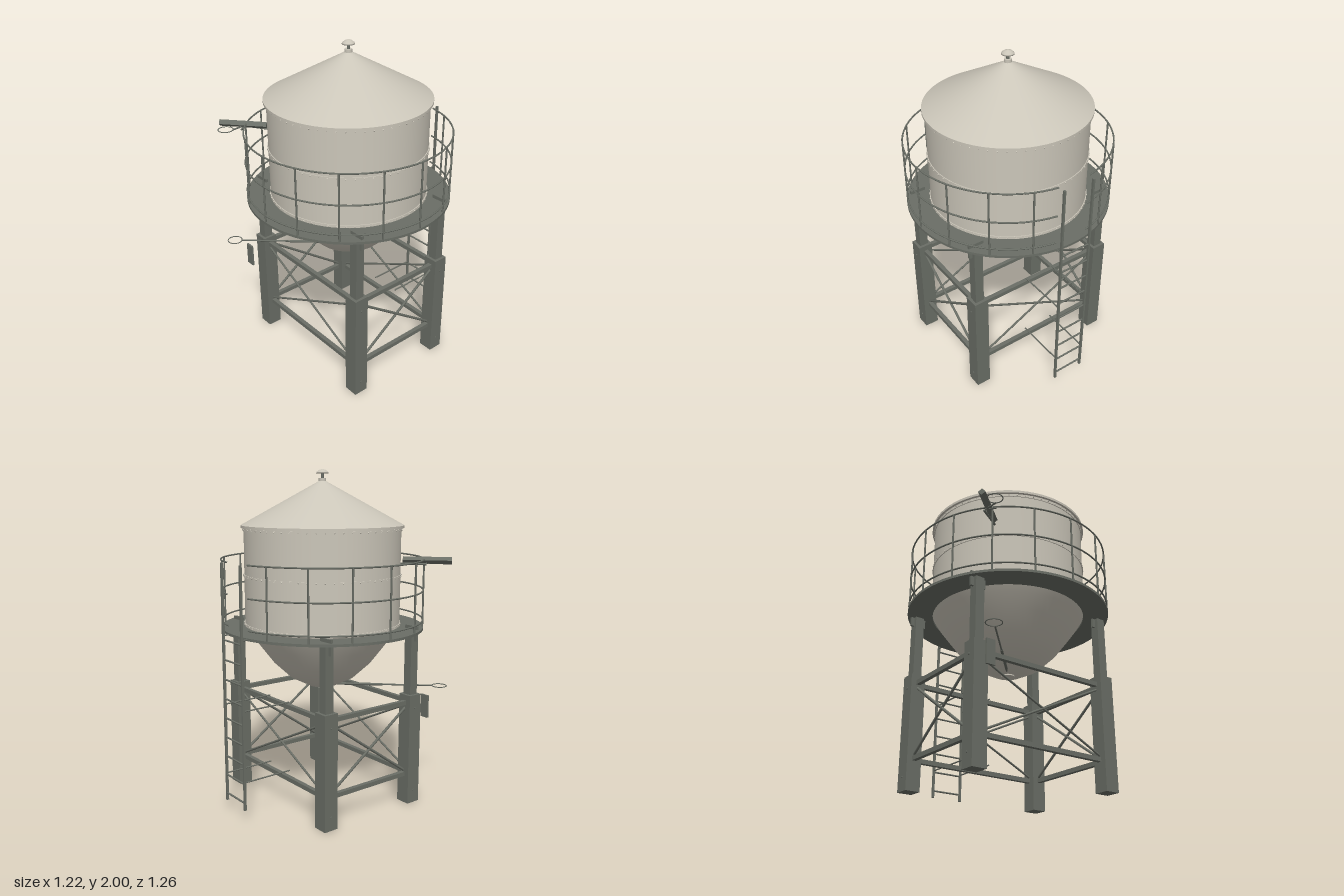
import * as THREE from 'three';
import { mergeGeometries } from 'three/addons/utils/BufferGeometryUtils.js';

const mat = (name, color) => {
  const m = new THREE.MeshStandardMaterial({ color });
  m.name = name;
  return m;
};

const V = (x, y, z) => new THREE.Vector3(x, y, z);

// Bar between two points: round (w = diameter) or square (w = side)
function bar(a, b, w, square = false) {
  const d = b.clone().sub(a);
  const len = d.length();
  const g = square ? new THREE.BoxGeometry(w, len, w) : new THREE.CylinderGeometry(w / 2, w / 2, len, 8);
  g.applyQuaternion(new THREE.Quaternion().setFromUnitVectors(V(0, 1, 0), d.normalize()));
  const c = a.clone().add(b).multiplyScalar(0.5);
  return g.translate(c.x, c.y, c.z);
}

const box = (w, h, d, x, y, z) => new THREE.BoxGeometry(w, h, d).translate(x, y, z);

const lathe = (pts, seg = 64) => new THREE.LatheGeometry(pts.map(p => new THREE.Vector2(p[0], p[1])), seg);

const flatRing = (r, tube, y) => new THREE.TorusGeometry(r, tube, 8, 32).rotateX(Math.PI / 2).translate(0, y, 0);

export function createModel() {
  const cream = mat('cream painted tank', 0xcbc6b9);
  const steel = mat('grey steel', 0x6a6e66);
  const model = new THREE.Group();
  model.name = 'waterTower';
  // Everything except the ladder is centred on the tank axis
  const tower = new THREE.Group();
  tower.name = 'tower';
  tower.position.z = 0.015;
  model.add(tower);
  const add = (name, geos, material, parent = tower) => {
    const list = [].concat(geos).map(g => (g.index ? g.toNonIndexed() : g));
    const m = new THREE.Mesh(list.length > 1 ? mergeGeometries(list) : list[0], material);
    m.name = name;
    parent.add(m);
  };

  // Tank shell
  add('tankWall', new THREE.CylinderGeometry(0.468, 0.468, 0.59, 64, 1, true).translate(0, 1.375, 0), cream);
  add('tankBowl', lathe([[0, 0.685], [0.085, 0.698], [0.2, 0.757], [0.3, 0.85], [0.38, 0.955], [0.435, 1.03], [0.468, 1.085]]), cream);
  add('roof', lathe([[0.485, 1.675], [0.02, 1.93]]), cream);
  add('eave', new THREE.CylinderGeometry(0.485, 0.485, 0.015, 64).translate(0, 1.668, 0), cream);

  // Riveted bands
  for (const y of [1.09, 1.38, 1.65]) {
    add('band', new THREE.CylinderGeometry(0.473, 0.473, 0.016, 64).translate(0, y, 0), cream);
    const rivets = [];
    for (let i = 0; i < 60; i++) {
      const a = (i / 60) * Math.PI * 2;
      rivets.push(new THREE.OctahedronGeometry(0.005).translate(0.473 * Math.sin(a), y, 0.473 * Math.cos(a)));
    }
    add('rivets', rivets, cream);
  }

  // Roof vent
  add('ventNeck', new THREE.CylinderGeometry(0.022, 0.022, 0.03, 20).translate(0, 1.932, 0), cream);
  add('ventStem', new THREE.CylinderGeometry(0.009, 0.009, 0.04, 12).translate(0, 1.96, 0), steel);
  add('ventCap', lathe([[0, 1.972], [0.037, 1.974], [0.035, 1.982], [0.02, 1.993], [0, 2]], 24), cream);

  // Walkway
  const ring = new THREE.Shape().absarc(0, 0, 0.61, 0, Math.PI * 2);
  ring.holes.push(new THREE.Path().absarc(0, 0, 0.46, 0, Math.PI * 2, true));
  add('walkway', new THREE.ExtrudeGeometry(ring, { depth: 0.015, bevelEnabled: false, curveSegments: 64 })
    .rotateX(-Math.PI / 2).translate(0, 1.06, 0), steel);

  // Railing, open at the back for the ladder
  const gap = 0.17;
  for (const y of [1.116, 1.295, 1.478]) {
    add('handrail', new THREE.TorusGeometry(0.605, 0.005, 8, 80, Math.PI * 2 - gap * 2)
      .rotateZ(Math.PI / 2 + gap).rotateX(-Math.PI / 2).translate(0, y, 0), steel);
  }
  const posts = [];
  for (let i = 0; i < 16; i++) {
    if (i === 8) continue;
    const a = (i * Math.PI) / 8;
    const x = 0.605 * Math.sin(a), z = 0.605 * Math.cos(a);
    posts.push(bar(V(x, 1.06, z), V(x, 1.48, z), 0.011));
  }
  add('railPosts', posts, steel);

  // Legs with stepped posts, head plates and bolts
  const LX = 0.447, LZ = 0.32;
  for (const sx of [-1, 1]) for (const sz of [-1, 1]) {
    const x = sx * LX, z = sz * LZ;
    add('lowerLeg', box(0.09, 0.68, 0.09, x, 0.34, z), steel);
    add('upperLeg', box(0.055, 0.4, 0.055, x, 0.87, z), steel);
    add('headPlate', box(0.095, 0.09, 0.014, x, 1.05, z), steel);
    add('legBolts', [0.08, 0.6].map(y => new THREE.CylinderGeometry(0.006, 0.006, 0.008, 8)
      .rotateZ(Math.PI / 2).translate(x + sx * 0.046, y, z)), steel);
  }

  // Horizontal girts and crossed rods on all four sides
  const X = LX - 0.04, Z = LZ - 0.04;
  for (const s of [-1, 1]) {
    for (const y of [0.183, 0.632]) {
      add('girt', bar(V(-X, y, s * LZ), V(X, y, s * LZ), 0.026, true), steel);
      add('girt', bar(V(s * LX, y, -Z), V(s * LX, y, Z), 0.026, true), steel);
    }
    for (const d of [-1, 1]) {
      add('crossBrace', bar(V(-d * X, 0.6, s * LZ), V(d * X, 0.205, s * LZ), 0.013), steel);
      add('crossBrace', bar(V(s * LX, 0.6, -d * Z), V(s * LX, 0.205, d * Z), 0.016), steel);
    }
  }

  // Overflow arm at the railing and drain arm below the bowl, each with a hoop
  const hoop = y => flatRing(0.044, 0.003, y).translate(-0.485, 0, 0.53);
  add('upperArm', bar(V(-0.565, 1.473, 0.518), V(-0.348, 1.473, 0.332), 0.03, true), steel);
  add('upperArmBracket', [
    bar(V(-0.47, 1.452, 0.405), V(-0.33, 1.452, 0.32), 0.013),
    bar(V(-0.465, 1.456, 0.41), V(-0.425, 1.456, 0.46), 0.01),
    bar(V(-0.465, 1.456, 0.425), V(-0.455, 1.456, 0.498), 0.01)], steel);
  add('upperHoop', hoop(1.456), steel);
  add('drainArm', [
    bar(V(0, 0.702, 0), V(-0.25, 0.702, 0.275), 0.016),
    bar(V(-0.25, 0.702, 0.275), V(-0.455, 0.702, 0.498), 0.01)], steel);
  add('lowerHoop', hoop(0.702), steel);
  add('drainFlange', new THREE.CylinderGeometry(0.04, 0.04, 0.012, 20).translate(0, 0.69, 0), cream);
  add('hangingPlate', box(0.055, 0.14, 0.012, -0.447, 0.58, 0.448), steel);

  // Ladder at the back with ties to the frame and walkway
  const ladder = new THREE.Group();
  ladder.name = 'ladder';
  model.add(ladder);
  for (const s of [-1, 1]) {
    const x = s * 0.098;
    add('ladderRail', box(0.012, 1.41, 0.014, x, 0.775, -0.623), steel, ladder);
    add('ladderTies', [[0.238, -0.31], [0.66, -0.31], [1.066, -0.56]].map(([y, z]) =>
      bar(V(x, y, -0.623), V(x, y, z), 0.009)), steel, ladder);
  }
  const rungs = [];
  for (let i = 0; i < 9; i++) rungs.push(bar(V(-0.098, 0.113 + i * 0.116, -0.623), V(0.098, 0.113 + i * 0.116, -0.623), 0.011));
  add('rungs', rungs, steel, ladder);

  return model;
}
